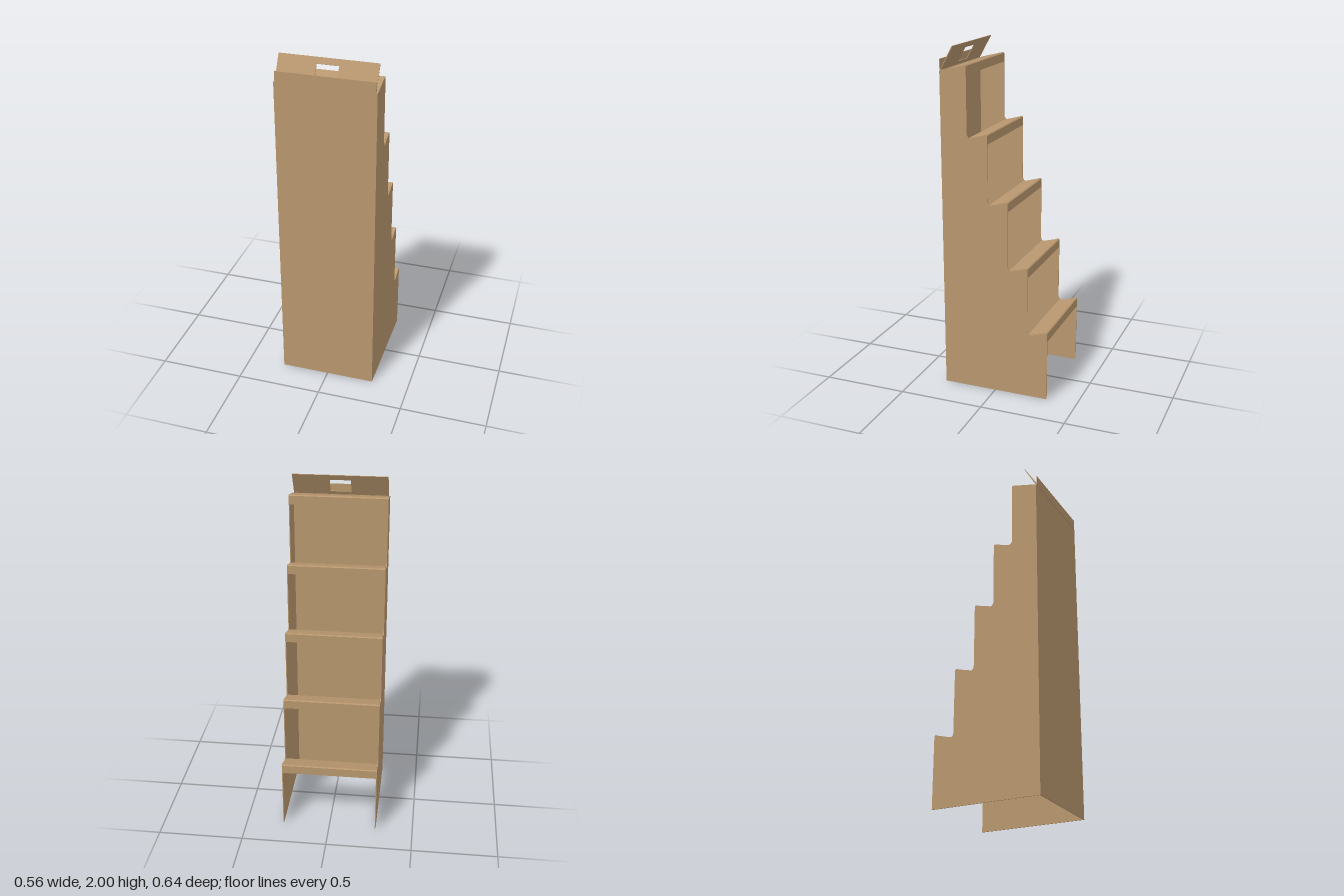
import * as THREE from 'three';

const T = 0.005;         // board thickness
const HALF_W = 0.28;
const FRONT = 0.317, BACK = -0.32;
const STEPS = 5, RUN = 0.12, RISE = 0.372, FIRST = 0.42;
const SLOPE = 0.26;      // treads fall towards the front panel

// Extrudes a (z, y) outline along x, centred on the given x
function extrudeX(shape, width, x = 0) {
  const g = new THREE.ExtrudeGeometry(shape, { depth: width, bevelEnabled: false, curveSegments: 6 });
  g.rotateY(-Math.PI / 2);
  g.translate(x + width / 2, 0, 0);
  return g;
}

// Stepped outline of a side panel, with a rounded inner corner on every step
function sideShape() {
  const s = new THREE.Shape();
  s.moveTo(FRONT, 0);
  s.lineTo(FRONT, 1.868);
  for (let i = STEPS - 1; i >= 0; i--) {
    const z = BACK + i * RUN, y = FIRST + i * RISE;
    if (i < STEPS - 1) {
      s.lineTo(z + RUN, y - 0.005);
      s.bezierCurveTo(z + RUN, y - 0.026, z + RUN - 0.014, y - 0.037, z + RUN - 0.035, y - 0.03);
    }
    s.lineTo(z + 0.008, y - 0.003);
    s.lineTo(z, y - 0.008);
  }
  s.lineTo(BACK, 0);
  s.closePath();
  return s;
}

// Sloping tread with a lip folded down at its outer edge
function shelfShape(z, y, depth) {
  const lip = 0.055, drop = depth * SLOPE;
  const s = new THREE.Shape();
  s.moveTo(z, y - lip);
  s.lineTo(z + T, y - lip);
  s.lineTo(z + T, y - T - 0.002);
  s.lineTo(z + depth, y - drop - T);
  s.lineTo(z + depth, y - drop);
  s.lineTo(z + 0.006, y);
  s.lineTo(z, y - 0.005);
  s.closePath();
  return s;
}

export function createModel() {
  const group = new THREE.Group();
  const cardboard = new THREE.MeshStandardMaterial({ color: 0xb8976f });
  cardboard.name = 'cardboard';
  const add = (name, geometry) => {
    const mesh = new THREE.Mesh(geometry, cardboard);
    mesh.name = name;
    group.add(mesh);
    return mesh;
  };

  // Side walls
  for (const [name, side] of [['leftSide', 1], ['rightSide', -1]]) {
    add(name, extrudeX(sideShape(), T, side * (HALF_W - T / 2)));
  }

  // Closed front wall
  add('frontPanel', new THREE.BoxGeometry(2 * (HALF_W - T), 1.868, T))
    .position.set(0, 0.934, FRONT - T / 2);

  // Shelves; the top one reaches the front wall
  for (let i = 0; i < STEPS; i++) {
    const depth = i === STEPS - 1 ? FRONT - T - (BACK + i * RUN) : RUN - 0.003;
    add('shelf' + (i + 1), extrudeX(
      shelfShape(BACK + i * RUN, FIRST + i * RISE - 0.003, depth), 2 * (HALF_W - T)));
  }

  // Short upright lip along the top of the front
  add('frontLip', new THREE.BoxGeometry(0.544, 0.062, 0.004))
    .position.set(0, 1.899, FRONT + 0.001);

  // Tilted header flap with a slot
  const flap = new THREE.Shape();
  flap.moveTo(-0.272, 0);
  flap.lineTo(0.272, 0);
  flap.lineTo(0.272, 0.15);
  flap.lineTo(-0.272, 0.15);
  flap.closePath();
  const slot = new THREE.Path();
  slot.moveTo(-0.06, 0.023);
  slot.lineTo(-0.06, 0.114);
  slot.lineTo(0.06, 0.114);
  slot.lineTo(0.06, 0.023);
  slot.closePath();
  flap.holes.push(slot);
  const header = add('headerFlap', new THREE.ExtrudeGeometry(flap, { depth: 0.004, bevelEnabled: false }));
  header.position.set(0, 1.87, 0.313);
  header.rotation.x = -Math.atan2(0.073, 0.13);

  return group;
}
